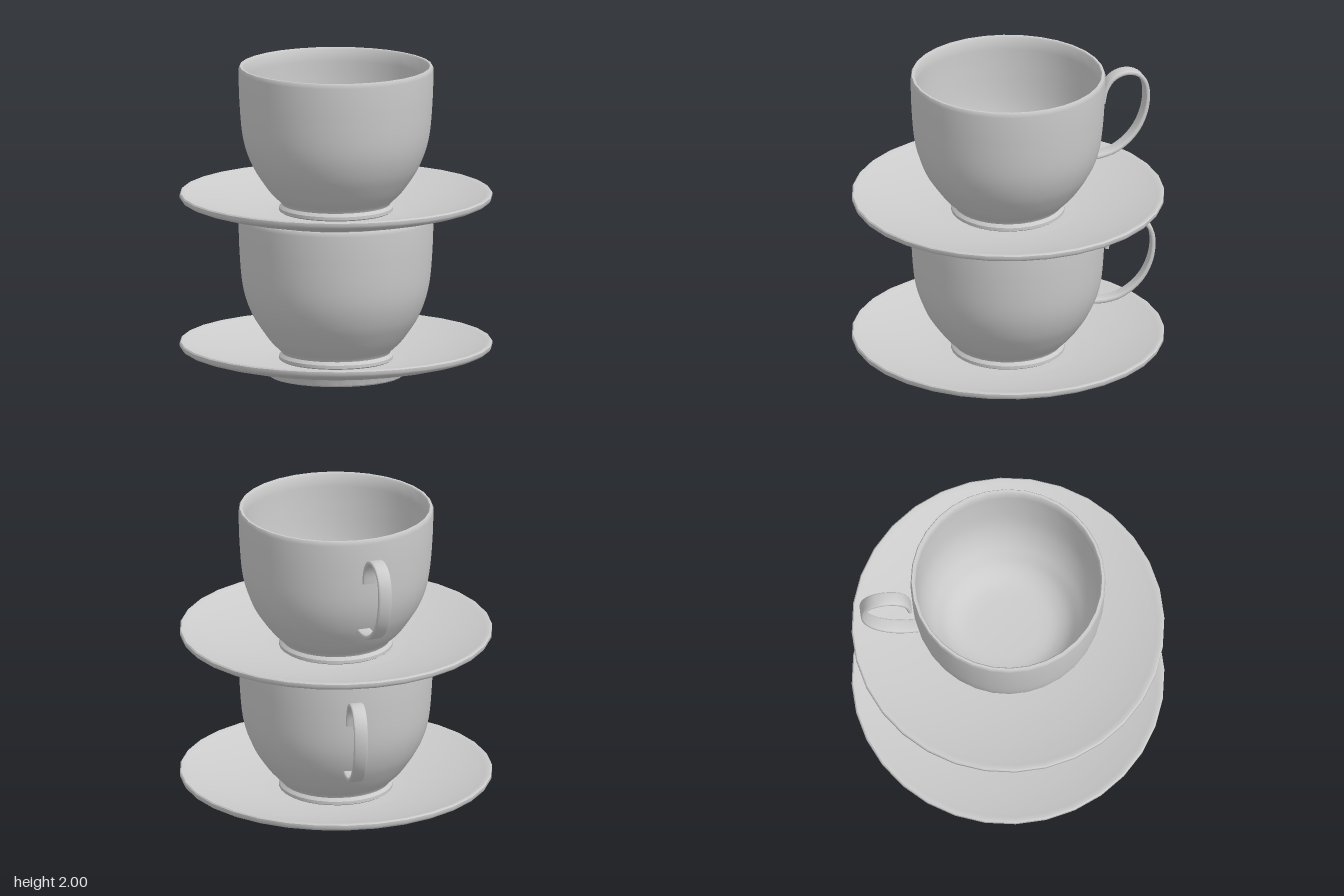
import * as THREE from 'three';
import { toCreasedNormals } from 'three/addons/utils/BufferGeometryUtils.js';

const SEGMENTS = 32;
const material = new THREE.MeshStandardMaterial({ color: 0xcccccc });

const vectors = (pairs) => pairs.map(([x, y]) => new THREE.Vector2(x, y));
const smooth = (pairs, n) => new THREE.SplineCurve(vectors(pairs)).getPoints(n);

function turned(name, points) {
  const lathe = new THREE.LatheGeometry(points, SEGMENTS, Math.PI / SEGMENTS);
  const mesh = new THREE.Mesh(toCreasedNormals(lathe, 0.7), material);
  mesh.name = name;
  return mesh;
}

// Shallow dish on a solid round foot
function createSaucer() {
  return turned('saucer', [
    ...vectors([[0, 0.005], [0.425, 0.005], [0.435, 0.015], [0.438, 0.05]]),
    ...smooth([[0.45, 0.068], [0.6, 0.085], [0.8, 0.125], [0.94, 0.162], [0.985, 0.182]], 12),
    ...vectors([[0.993, 0.195], [0.993, 0.214], [0.986, 0.222], [0.975, 0.222]]),
    ...smooth([[0.95, 0.212], [0.8, 0.168], [0.6, 0.125], [0.42, 0.1]], 9),
    ...vectors([[0, 0.1]]),
  ]);
}

// Hollow bowl with a foot ring and a thin rim
function createBowl() {
  return turned('cupBowl', [
    ...vectors([[0, 0.102], [0.35, 0.102], [0.362, 0.11], [0.362, 0.13], [0.345, 0.15]]),
    ...smooth([[0.352, 0.165], [0.415, 0.225], [0.478, 0.31], [0.53, 0.395], [0.575, 0.51],
      [0.6, 0.64], [0.614, 0.83], [0.618, 0.95], [0.618, 1.028]], 24),
    ...vectors([[0.612, 1.04], [0.598, 1.04], [0.59, 1.03]]),
    ...smooth([[0.588, 0.95], [0.584, 0.83], [0.57, 0.64], [0.545, 0.51], [0.5, 0.395],
      [0.445, 0.31], [0.385, 0.235], [0.3, 0.185], [0.2, 0.17]], 24),
    ...vectors([[0, 0.17]]),
  ]);
}

// Flat band with rounded edges, swept along an open ear-shaped loop at the back
function createHandle() {
  const path = new THREE.CatmullRomCurve3([
    [0.63, 0.755], [0.648, 0.84], [0.69, 0.905], [0.745, 0.936], [0.805, 0.942],
    [0.872, 0.918], [0.916, 0.86], [0.931, 0.77], [0.915, 0.655], [0.868, 0.55],
    [0.8, 0.472], [0.71, 0.415], [0.62, 0.393], [0.515, 0.392],
  ].map(([r, y]) => new THREE.Vector3(0, y, -r)));
  const w = 0.045, t = 0.014, c = 0.012;
  const band = new THREE.Shape();
  band.moveTo(-w + c, -t);
  band.lineTo(w - c, -t);
  band.quadraticCurveTo(w, -t, w, 0);
  band.quadraticCurveTo(w, t, w - c, t);
  band.lineTo(-w + c, t);
  band.quadraticCurveTo(-w, t, -w, 0);
  band.quadraticCurveTo(-w, -t, -w + c, -t);
  const geometry = new THREE.ExtrudeGeometry(band, { steps: 48, curveSegments: 3, extrudePath: path });
  const mesh = new THREE.Mesh(toCreasedNormals(geometry, 0.8), material);
  mesh.name = 'cupHandle';
  return mesh;
}

function createCup() {
  const cup = new THREE.Group();
  cup.name = 'cup';
  cup.add(createBowl(), createHandle());
  return cup;
}

export function createModel() {
  const model = new THREE.Group();
  model.name = 'stackedTeacups';
  // Two sets stacked; the upper cup is turned slightly
  [['lowerSet', 0, 0], ['upperSet', 0.96, 0.17]].forEach(([name, y, turn]) => {
    const set = new THREE.Group();
    set.name = name;
    set.position.y = y;
    const cup = createCup();
    cup.rotation.y = turn;
    set.add(createSaucer(), cup);
    model.add(set);
  });
  return model;
}
